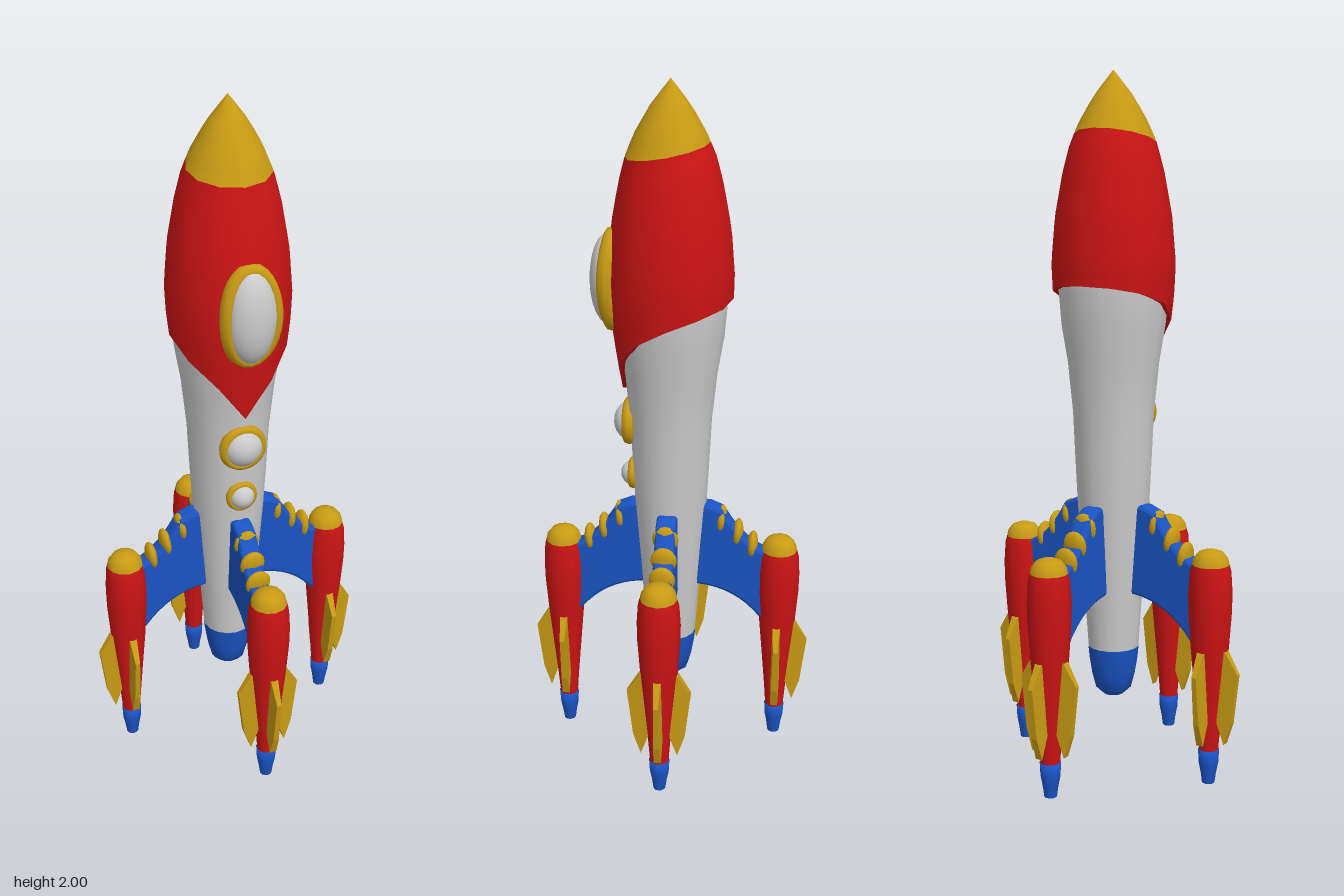
import * as THREE from 'three';

const material = (color, side = THREE.FrontSide) => new THREE.MeshStandardMaterial({ color, side });
const GREY = material(0xcccccc);
const RED = material(0xcc1414, THREE.DoubleSide);
const GOLD = material(0xc89b14);
const BLUE = material(0x1a54c4);
const SIDES = 12;

function add(parent, name, geometry, mat, x = 0, y = 0, z = 0) {
  const mesh = new THREE.Mesh(geometry, mat);
  mesh.name = name;
  mesh.position.set(x, y, z);
  parent.add(mesh);
  return mesh;
}

const lathe = (points, sides = SIDES) =>
  new THREE.LatheGeometry(points.map(([r, y]) => new THREE.Vector2(r, y)), sides);

// Radius of the head shell (hood and nose) at a given height
const HEAD = [[1.1, 0.132], [1.14, 0.138], [1.2, 0.149], [1.3, 0.163], [1.38, 0.172], [1.47, 0.176],
  [1.6, 0.165], [1.72, 0.143], [1.8, 0.122], [1.86, 0.096], [1.93, 0.055], [2, 0]];
function headRadius(y) {
  for (let i = 1; i < HEAD.length; i++) {
    const [y0, r0] = HEAD[i - 1], [y1, r1] = HEAD[i];
    if (y <= y1) return THREE.MathUtils.lerp(r0, r1, (y - y0) / (y1 - y0));
  }
  return 0;
}

// Skin closed rings of points, bottom to top: point(row 0..1, angle) -> [radius, y]
function loft(rows, point, sides = SIDES) {
  const pos = [], index = [];
  for (let i = 0; i <= rows; i++) {
    for (let j = 0; j < sides; j++) {
      const a = (j / sides) * Math.PI * 2;
      const [r, y] = point(i / rows, a);
      pos.push(r * Math.sin(a), y, r * Math.cos(a));
      if (i === rows) continue;
      const k = i * sides + j, n = i * sides + ((j + 1) % sides);
      index.push(k, n, n + sides, k, n + sides, k + sides);
    }
  }
  const g = new THREE.BufferGeometry();
  g.setAttribute('position', new THREE.Float32BufferAttribute(pos, 3));
  g.setIndex(index);
  g.computeVertexNormals();
  return g;
}

// Slanted nose edge, and hood hem that dips to a point at the front
const noseEdge = (a) => 1.815 - 0.022 * Math.cos(a);
const HEM = [1.135, 1.24, 1.31, 1.36, 1.39, 1.405, 1.41];
const hoodHem = (a) => {
  const s = Math.round(a / (Math.PI / 6));
  return HEM[Math.min(s, SIDES - s)];
};

function makeHead(root) {
  const { lerp } = THREE.MathUtils;
  add(root, 'hood', loft(12, (t, a) => {
    const y = lerp(hoodHem(a), noseEdge(a), t);
    return [headRadius(y), y];
  }), RED);
  add(root, 'hoodRim', loft(1, (t, a) => {
    const y = hoodHem(a);
    return [headRadius(y) - 0.03 * (1 - t), y];
  }), RED);
  add(root, 'noseCone', loft(6, (t, a) => {
    const y = lerp(noseEdge(a), 2, t);
    return [headRadius(y), y];
  }), GOLD);
}

// Oval frame with a domed pane on the front of the body
function makePorthole(root, name, y, z, rx, ry, tube, dome, bend) {
  const group = new THREE.Group();
  group.name = name;
  group.position.set(0, y, z);
  const path = [];
  for (let i = 0; i < 20; i++) {
    const a = (i / 20) * Math.PI * 2;
    path.push(new THREE.Vector3(rx * Math.cos(a), ry * Math.sin(a), -bend * Math.sin(a) ** 2));
  }
  const curve = new THREE.CatmullRomCurve3(path, true);
  add(group, 'frame', new THREE.TubeGeometry(curve, 32, tube, 8, true), GOLD).scale.z = 1.25;
  add(group, 'pane', new THREE.SphereGeometry(1, 20, 12), GREY).scale.set(rx, ry, dome);
  root.add(group);
}

// Fin blade in the xy plane, thinning towards its outer edge
function finGeometry() {
  const outline = [[0.03, 0.4], [0.055, 0.395], [0.092, 0.335], [0.075, 0.19], [0.053, 0.125], [0.03, 0.19], [0.015, 0.22]];
  const g = new THREE.ExtrudeGeometry(new THREE.Shape(outline.map((p) => new THREE.Vector2(...p))),
    { depth: 0.03, bevelEnabled: false });
  g.translate(0, 0, -0.015);
  const p = g.attributes.position;
  for (let i = 0; i < p.count; i++) p.setZ(i, p.getZ(i) * (1.1 - 7 * p.getX(i)));
  g.computeVertexNormals();
  return g;
}

// Curved bracket joining the body to a booster
function strutGeometry() {
  const s = new THREE.Shape();
  s.moveTo(0.04, 0.535);
  s.lineTo(0.09, 0.53);
  s.quadraticCurveTo(0.2, 0.52, 0.275, 0.425);
  s.lineTo(0.315, 0.42);
  s.lineTo(0.315, 0.62);
  s.lineTo(0.265, 0.635);
  s.quadraticCurveTo(0.2, 0.67, 0.15, 0.76);
  s.lineTo(0.115, 0.775);
  s.lineTo(0.04, 0.775);
  const g = new THREE.ExtrudeGeometry(s, {
    depth: 0.03, curveSegments: 8, bevelThickness: 0.014, bevelSize: 0.01, bevelSegments: 2,
  });
  return g.translate(0, 0, -0.015);
}

function makeBooster(angle) {
  const leg = new THREE.Group();
  leg.name = 'boosterLeg';
  add(leg, 'strut', strutGeometry(), BLUE);

  // Beads stepping down the top of the strut
  for (const [x, y] of [[0.15, 0.732], [0.198, 0.69], [0.242, 0.652]]) {
    const bead = add(leg, 'bead', new THREE.SphereGeometry(1, 12, 8), GOLD, x, y, 0);
    bead.scale.set(0.017, 0.042, 0.038);
    bead.rotation.z = -0.1;
  }

  const pod = new THREE.Group();
  pod.name = 'booster';
  pod.position.x = 0.323;
  add(pod, 'tank', lathe([[0.027, 0.095], [0.032, 0.16], [0.042, 0.27], [0.054, 0.4], [0.061, 0.5],
    [0.062, 0.56], [0.058, 0.62], [0.052, 0.642]]), RED);
  add(pod, 'cap', lathe([[0.053, 0.638], [0.049, 0.657], [0.036, 0.674], [0.018, 0.681], [0, 0.683]]), GOLD);
  add(pod, 'nozzle', lathe([[0, 0], [0.018, 0], [0.018, 0], [0.022, 0.03], [0.028, 0.06], [0.03, 0.1], [0, 0.1]]), BLUE);
  for (const turn of [-1, 0, 1]) {
    add(pod, 'fin', finGeometry(), GOLD).rotation.y = (turn * Math.PI) / 2;
  }
  leg.add(pod);
  leg.rotation.y = angle;
  return leg;
}

export function createModel() {
  const root = new THREE.Group();
  root.name = 'rocket';

  // Tapered body with a rounded tail
  add(root, 'body', lathe([[0.074, 0.35], [0.079, 0.42], [0.09, 0.58], [0.105, 0.78], [0.112, 0.92],
    [0.118, 1.05], [0.132, 1.19], [0.15, 1.3], [0.158, 1.4], [0.158, 1.48], [0, 1.5]], 16), GREY);
  add(root, 'tail', lathe([[0, 0.2], [0.03, 0.205], [0.052, 0.225], [0.064, 0.27], [0.072, 0.32], [0.075, 0.352]], 16), BLUE);
  makeHead(root);

  makePorthole(root, 'largeWindow', 1.455, 0.173, 0.07, 0.13, 0.019, 0.052, 0.012);
  makePorthole(root, 'middlePorthole', 1.035, 0.118, 0.056, 0.056, 0.014, 0.046, 0);
  makePorthole(root, 'smallPorthole', 0.87, 0.11, 0.037, 0.037, 0.01, 0.036, 0);

  for (let i = 0; i < 4; i++) root.add(makeBooster((i * Math.PI) / 2));
  return root;
}
